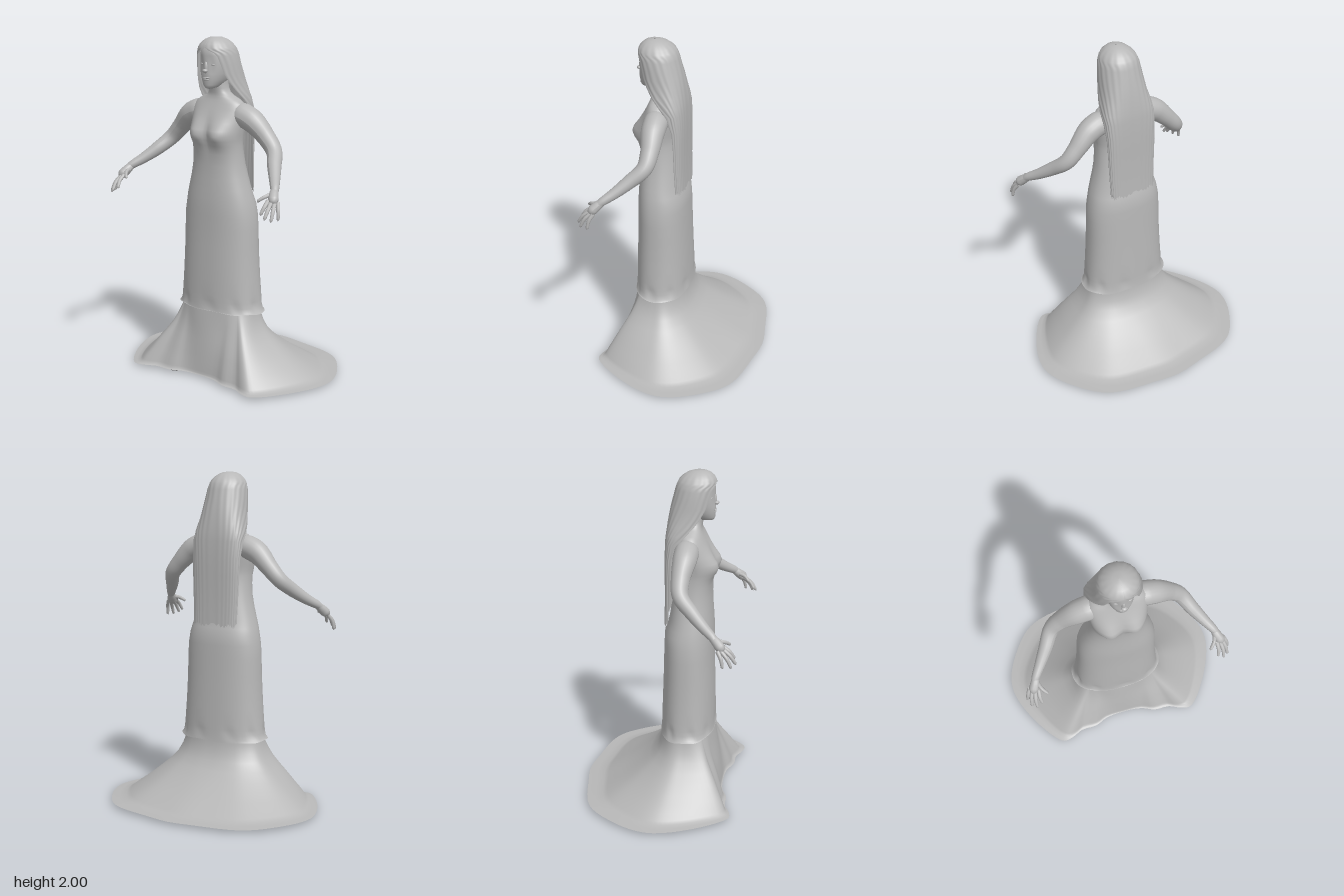
import * as THREE from 'three';

const grey = new THREE.MeshStandardMaterial({ color: 0xb8b8b8, side: THREE.DoubleSide });
grey.name = 'plain grey';

// Smooth surface through rows of points; closed rows wrap round
function skin(rows, closed) {
  const n = rows[0].length, index = [];
  for (let i = 0; i < rows.length - 1; i++) {
    for (let j = 0; j < (closed ? n : n - 1); j++) {
      const a = i * n + j, b = i * n + (j + 1) % n;
      index.push(a, b, a + n, b, b + n, a + n);
    }
  }
  const geo = new THREE.BufferGeometry();
  geo.setAttribute('position', new THREE.Float32BufferAttribute(rows.flat().flatMap(p => [p.x, p.y, p.z]), 3));
  geo.setIndex(index);
  geo.computeVertexNormals();
  return geo;
}

// Point on a rounded cross-section; angle 0 is the front, then towards +x
function sectionPoint(y, rx, zf, zb, a, power = 2.3) {
  const s = Math.sin(a), c = Math.cos(a), e = 2 / power;
  return new THREE.Vector3(
    Math.sign(s) * Math.abs(s) ** e * rx, y,
    (zf + zb) / 2 + Math.sign(c) * Math.abs(c) ** e * (zf - zb) / 2);
}

// Closed loft from [y, half width, front z, back z] sections
function loft(sections, change, n = 72) {
  return skin(sections.map(([y, rx, zf, zb]) => Array.from({ length: n }, (_, j) => {
    const a = j / n * Math.PI * 2;
    return change(sectionPoint(y, rx, zf, zb, a), a);
  })), true);
}

// Tapered round limb through [x, y, z, radius] stations
function limb(stations, segments = 24, sides = 14) {
  const curve = new THREE.CatmullRomCurve3(stations.map(s => new THREE.Vector3(s[0], s[1], s[2])));
  const geo = new THREE.TubeGeometry(curve, segments, 1, sides);
  const pos = geo.attributes.position, v = new THREE.Vector3();
  for (let i = 0; i <= segments; i++) {
    const u = i / segments, centre = curve.getPointAt(u);
    const t = curve.getUtoTmapping(u) * (stations.length - 1);
    const k = Math.min(Math.floor(t), stations.length - 2);
    const r = THREE.MathUtils.lerp(stations[k][3], stations[k + 1][3], t - k);
    for (let j = 0; j <= sides; j++) {
      const id = i * (sides + 1) + j;
      v.fromBufferAttribute(pos, id).sub(centre).multiplyScalar(r).add(centre);
      pos.setXYZ(id, v.x, Math.max(v.y, 0), v.z);
    }
  }
  geo.computeVertexNormals();
  return geo;
}

export function createModel() {
  const model = new THREE.Group();
  const add = (name, geo, parent = model) => {
    const mesh = new THREE.Mesh(geo, grey);
    mesh.name = name;
    parent.add(mesh);
    return mesh;
  };
  const blob = (name, x, y, z, sx, sy, sz, parent) => {
    const mesh = add(name, new THREE.SphereGeometry(1, 16, 12), parent);
    mesh.position.set(x, y, z);
    mesh.scale.set(sx, sy, sz);
  };

  // Torso and long fitted dress, with bust and small dents above the lower edge
  add('dressAndTorso', loft([
    [0.402, 0.284, 0.305, -0.022], [0.412, 0.272, 0.303, -0.02], [0.44, 0.264, 0.301, -0.018],
    [0.47, 0.261, 0.3, -0.017], [0.51, 0.257, 0.299, -0.016], [0.6, 0.25, 0.297, -0.013],
    [0.7, 0.244, 0.294, -0.01], [0.8, 0.24, 0.29, -0.007], [0.9, 0.238, 0.287, -0.005],
    [0.98, 0.233, 0.287, -0.003], [1.04, 0.222, 0.286, 0], [1.08, 0.213, 0.284, 0.014], [1.13, 0.199, 0.281, 0.026],
    [1.2, 0.18, 0.276, 0.037], [1.27, 0.165, 0.273, 0.05], [1.34, 0.158, 0.274, 0.062],
    [1.39, 0.156, 0.275, 0.068], [1.42, 0.158, 0.275, 0.068], [1.45, 0.162, 0.273, 0.067],
    [1.48, 0.166, 0.27, 0.063], [1.52, 0.171, 0.261, 0.06], [1.56, 0.174, 0.25, 0.06],
    [1.595, 0.174, 0.235, 0.066], [1.625, 0.16, 0.222, 0.075], [1.645, 0.134, 0.214, 0.083],
    [1.665, 0.09, 0.208, 0.095], [1.685, 0.064, 0.209, 0.102], [1.71, 0.054, 0.214, 0.107], [1.74, 0.052, 0.222, 0.11],
    [1.78, 0.05, 0.22, 0.11],
  ], (p, a) => {
    if (p.z > 0.17) {
      const dx = (Math.abs(p.x) - 0.08) / 0.07, dy = (p.y - 1.45) / (p.y < 1.45 ? 0.055 : 0.075);
      p.z += 0.05 * Math.exp(-dx * dx - dy * dy);
    }
    if (p.y < 0.55) {
      const dent = Math.max(0, Math.sin(a * 9 + 1)) * Math.exp(-(((p.y - 0.45) / 0.03) ** 2));
      const w = 1 - 0.04 * dent;
      p.x *= w;
      p.z = 0.14 + (p.z - 0.14) * w;
      if (p.y < 0.408) p.y += 0.007 * Math.cos(a) + 0.003 * Math.sin(a * 7);
    }
    return p;
  }));

  // Wide flounce spreading from the skirt to an uneven hem with a flat train
  const half = [[0.12, 0.37], [0.2, 0.403], [0.3, 0.407], [0.37, 0.438], [0.43, 0.447], [0.48, 0.41],
    [0.56, 0.3], [0.615, 0.2], [0.655, 0.1], [0.672, 0], [0.65, -0.11], [0.575, -0.25], [0.48, -0.365],
    [0.38, -0.42], [0.17, -0.463]];
  const outline = [[0, 0.36], ...half, [0, -0.488], ...half.slice().reverse().map(([x, z]) => [-x, z])];
  const hem = new THREE.CatmullRomCurve3(outline.map(([x, z]) => new THREE.Vector3(x, 0.018, z)), true)
    .getPoints(96).slice(0, 96);
  const spread = [[0.018, 1], [0.021, 0.91], [0.026, 0.83], [0.04, 0.78], [0.07, 0.695], [0.1, 0.6], [0.14, 0.485],
    [0.18, 0.375], [0.23, 0.24], [0.28, 0.13], [0.33, 0.06], [0.38, 0.015], [0.42, 0]];
  add('flounce', skin(spread.map(([y, t]) => hem.map(h => {
    const a = Math.atan2(h.x, h.z - 0.14), c = Math.cos(a);
    const lean = t ** (c > 0 ? 1 - 0.4 * c : 1 - 0.25 * c);
    const p = sectionPoint(y, 0.252, 0.296, -0.012, a, 2.3).lerp(new THREE.Vector3(h.x, y, h.z), lean);
    const fold = 1 + 0.028 * Math.sin(6.5 * Math.abs(a) + 1.6) * Math.min(1, (0.42 - y) / 0.12)
      * (1 - lean) * (0.6 + 0.4 * c);
    p.x *= fold;
    p.z = 0.14 + (p.z - 0.14) * fold;
    return p;
  })), true));

  // Head and face
  const head = new THREE.Group();
  head.name = 'head';
  model.add(head);
  add('face', loft([
    [1.712, 0.012, 0.262, 0.22], [1.718, 0.03, 0.274, 0.18], [1.735, 0.047, 0.281, 0.14], [1.765, 0.064, 0.282, 0.1],
    [1.8, 0.076, 0.284, 0.08], [1.85, 0.083, 0.282, 0.07], [1.9, 0.083, 0.281, 0.07], [1.93, 0.077, 0.276, 0.08],
    [1.95, 0.062, 0.262, 0.09], [1.97, 0.04, 0.235, 0.12],
  ], p => {
    // shallow eye sockets
    if (p.z > 0.2) p.z -= 0.01 * Math.exp(-(((Math.abs(p.x) - 0.035) / 0.02) ** 2) - ((p.y - 1.85) / 0.025) ** 2);
    return p;
  }), head);
  blob('nose', 0, 1.832, 0.278, 0.012, 0.036, 0.012, head);
  blob('noseTip', 0, 1.816, 0.287, 0.016, 0.011, 0.016, head);
  blob('upperLip', 0, 1.776, 0.279, 0.025, 0.006, 0.009, head);
  blob('lowerLip', 0, 1.766, 0.278, 0.021, 0.007, 0.009, head);
  for (const s of [-1, 1]) blob('eye', s * 0.034, 1.851, 0.261, 0.016, 0.006, 0.009, head);

  // Long hair: [y, half width, front z, back z, opening angle at the front]
  const hair = [[2, 0.004, 0.198, 0.19, 0], [1.997, 0.035, 0.232, 0.15, 0], [1.985, 0.062, 0.256, 0.118, 0],
    [1.965, 0.087, 0.277, 0.09, 0], [1.945, 0.102, 0.286, 0.073, 0], [1.932, 0.108, 0.288, 0.066, 0.18],
    [1.918, 0.113, 0.288, 0.06, 0.47],
    [1.9, 0.118, 0.287, 0.054, 0.62], [1.85, 0.126, 0.28, 0.042, 0.72], [1.8, 0.131, 0.268, 0.03, 0.78],
    [1.75, 0.137, 0.249, 0.021, 0.92], [1.7, 0.147, 0.222, 0.013, 1.1], [1.65, 0.158, 0.182, 0.007, 1.3],
    [1.6, 0.162, 0.145, 0.003, 1.5], [1.5, 0.16, 0.11, 0.001, 1.6], [1.4, 0.157, 0.095, 0.002, 1.6],
    [1.25, 0.152, 0.085, 0.004, 1.6], [1.1, 0.147, 0.075, 0, 1.6]];
  const strands = 120;
  add('hair', skin(hair.slice().reverse().map(([y, w, zf, zb, gap]) => Array.from({ length: strands + 1 }, (_, j) => {
    const a = gap + (Math.PI - gap) * 2 * j / strands;
    const p = sectionPoint(y, w, zf, zb, a, THREE.MathUtils.mapLinear(THREE.MathUtils.clamp(y, 1.6, 1.85), 1.6, 1.85, 3, 2.1));
    const ripple = y < 1.98 ? 1 + 0.008 * Math.sin(j * 0.8) : 1;
    p.x *= ripple;
    p.z = (zf + zb) / 2 + (p.z - (zf + zb) / 2) * ripple;
    if (y < 1.15) p.y += 0.014 * Math.sin(j * 0.6) * Math.cos(j * 0.37);
    return p;
  })), false));

  // Arms, hands and feet, mirrored
  for (const s of [-1, 1]) {
    const side = s > 0 ? 'left' : 'right';
    const flip = list => list.map(([x, y, z, r]) => [s * x, y, z, r]);
    add(side + 'Arm', limb(flip([[0.07, 1.57, 0.142, 0.045], [0.15, 1.563, 0.142, 0.071], [0.225, 1.532, 0.139, 0.068],
      [0.31, 1.452, 0.13, 0.053], [0.375, 1.38, 0.141, 0.046], [0.43, 1.312, 0.213, 0.04],
      [0.485, 1.255, 0.285, 0.031], [0.53, 1.215, 0.345, 0.023], [0.537, 1.205, 0.355, 0.02]]), 40, 20));
    const hand = new THREE.Group();
    hand.name = side + 'Hand';
    model.add(hand);
    add('palm', limb(flip([[0.525, 1.22, 0.335, 0.02], [0.538, 1.195, 0.365, 0.027],
      [0.553, 1.17, 0.39, 0.029], [0.558, 1.152, 0.405, 0.016], [0.56, 1.149, 0.408, 0.001]]), 14), hand);
    const fingers = [[0.53, 1.167, 0.405, 0.524, 1.1, 0.466], [0.55, 1.16, 0.405, 0.557, 1.08, 0.477],
      [0.565, 1.155, 0.395, 0.585, 1.068, 0.455], [0.575, 1.158, 0.377, 0.6, 1.07, 0.41],
      [0.525, 1.195, 0.37, 0.482, 1.162, 0.437]];
    for (const [x, y, z, u, v, w] of fingers) {
      add('finger', limb(flip([[x, y, z, 0.012], [(x + u) / 2 + 0.005, (y + v) / 2 + 0.007, (z + w) / 2 + 0.005, 0.011],
        [u, v, w, 0.008], [u, v - 0.004, w + 0.002, 0.0005]]), 12, 10), hand);
    }
    const foot = new THREE.Group();
    foot.name = side + 'Foot';
    model.add(foot);
    add('sole', limb(flip([[0.18, 0.035, 0.105, 0.001], [0.181, 0.035, 0.112, 0.026], [0.186, 0.035, 0.16, 0.034],
      [0.192, 0.032, 0.23, 0.038], [0.2, 0.022, 0.31, 0.045], [0.203, 0.016, 0.36, 0.035],
      [0.203, 0.014, 0.382, 0.001]])), foot);
    add('ankle', limb(flip([[0.186, 0.03, 0.17, 0.034], [0.182, 0.09, 0.145, 0.028], [0.176, 0.16, 0.14, 0.033]]), 10), foot);
  }
  return model;
}
